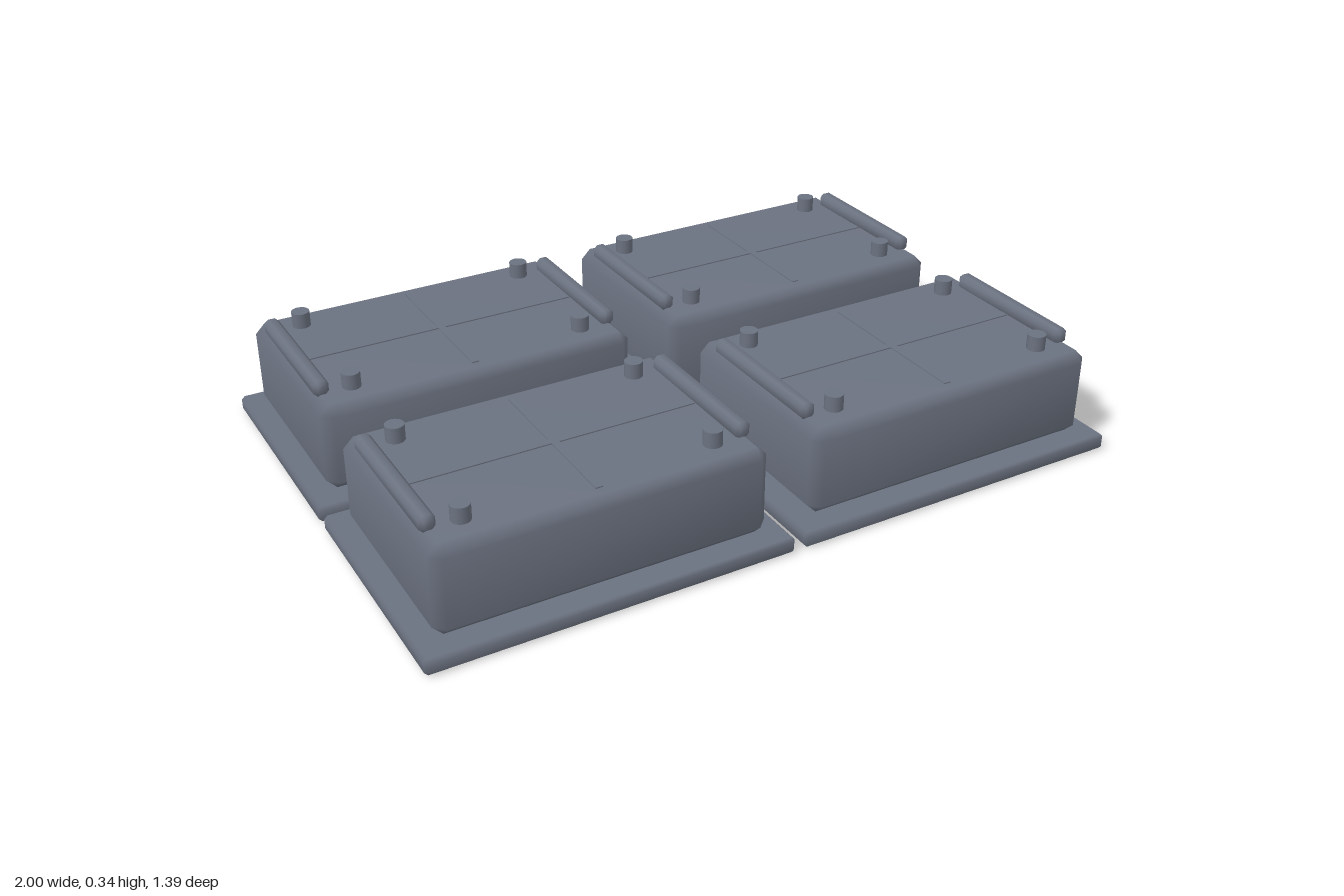
import * as THREE from 'three';
import { mergeVertices } from 'three/addons/utils/BufferGeometryUtils.js';

// Box with every edge chamfered by b, standing on y = 0, softly shaded
function chamferBox(w, h, d, b) {
  const X = w / 2, Z = d / 2, x = X - b, z = Z - b;
  const wide = [[X, z], [x, Z], [-x, Z], [-X, z], [-X, -z], [-x, -Z], [x, -Z], [X, -z]];
  const narrow = wide.map(([px, pz]) => [Math.sign(px) * x, Math.sign(pz) * z]);
  const rings = [[0, narrow], [b, wide], [h - b, wide], [h, narrow]];
  const positions = [], index = [];
  for (const [y, ring] of rings) for (const [px, pz] of ring) positions.push(px, y, -pz);
  for (let r = 0; r < 3; r++) {
    for (let i = 0; i < 8; i++) {
      const j = (i + 1) % 8, a = r * 8 + i, c = r * 8 + j;
      // the narrow rings have only four distinct corners
      if (r > 0 || i % 2) index.push(a, c, c + 8);
      if (r < 2 || i % 2) index.push(a, c + 8, a + 8);
      if (r === 0 && i % 2 === 0) index.push(a, c + 8, a + 8);
    }
  }
  // remove the duplicate of the bottom corner triangles
  const seen = new Set(), clean = [];
  for (let i = 0; i < index.length; i += 3) {
    const key = index.slice(i, i + 3).join();
    if (!seen.has(key)) clean.push(...index.slice(i, i + 3));
    seen.add(key);
  }
  clean.push(0, 4, 2, 0, 6, 4, 24, 26, 28, 24, 28, 30);
  let geometry = new THREE.BufferGeometry();
  geometry.setAttribute('position', new THREE.Float32BufferAttribute(positions, 3));
  geometry.setIndex(clean);
  geometry = mergeVertices(geometry, 1e-5);
  geometry.computeVertexNormals();
  return geometry;
}

export function createModel() {
  const model = new THREE.Group();
  model.name = 'panelSet';
  const grey = new THREE.MeshStandardMaterial({ color: 0x6b7280 });
  grey.name = 'slate grey';

  const baseGeo = chamferBox(0.985, 0.045, 0.678, 0.009);
  const bodyGeo = chamferBox(0.887, 0.247, 0.583, 0.028);
  const handleGeo = chamferBox(0.042, 0.044, 0.425, 0.011);
  const pegGeo = new THREE.CylinderGeometry(0.025, 0.025, 0.05, 16);
  const longRibGeo = new THREE.BoxGeometry(0.785, 0.01, 0.02);
  const crossRibGeo = new THREE.BoxGeometry(0.02, 0.01, 0.48);

  function createPanel() {
    const panel = new THREE.Group();
    const add = (name, geometry, x, y, z) => {
      const mesh = new THREE.Mesh(geometry, grey);
      mesh.name = name;
      mesh.position.set(x, y, z);
      panel.add(mesh);
    };
    add('basePlate', baseGeo, 0, 0, 0);
    add('body', bodyGeo, 0, 0.045, 0);
    // raised cross on the lid
    add('longRib', longRibGeo, 0, 0.29, 0);
    add('crossRib', crossRibGeo, 0, 0.29, 0);
    for (const sx of [-1, 1]) {
      add('handle', handleGeo, sx * 0.412, 0.286, 0);
      for (const sz of [-1, 1]) add('peg', pegGeo, sx * 0.33, 0.31, sz * 0.2);
    }
    return panel;
  }

  // two by two arrangement
  for (const sx of [-1, 1]) {
    for (const sz of [-1, 1]) {
      const panel = createPanel();
      panel.name = (sz > 0 ? 'front' : 'back') + (sx > 0 ? 'Left' : 'Right') + 'Panel';
      panel.position.set(sx * 0.5075, 0, sz * 0.354);
      model.add(panel);
    }
  }
  return model;
}
